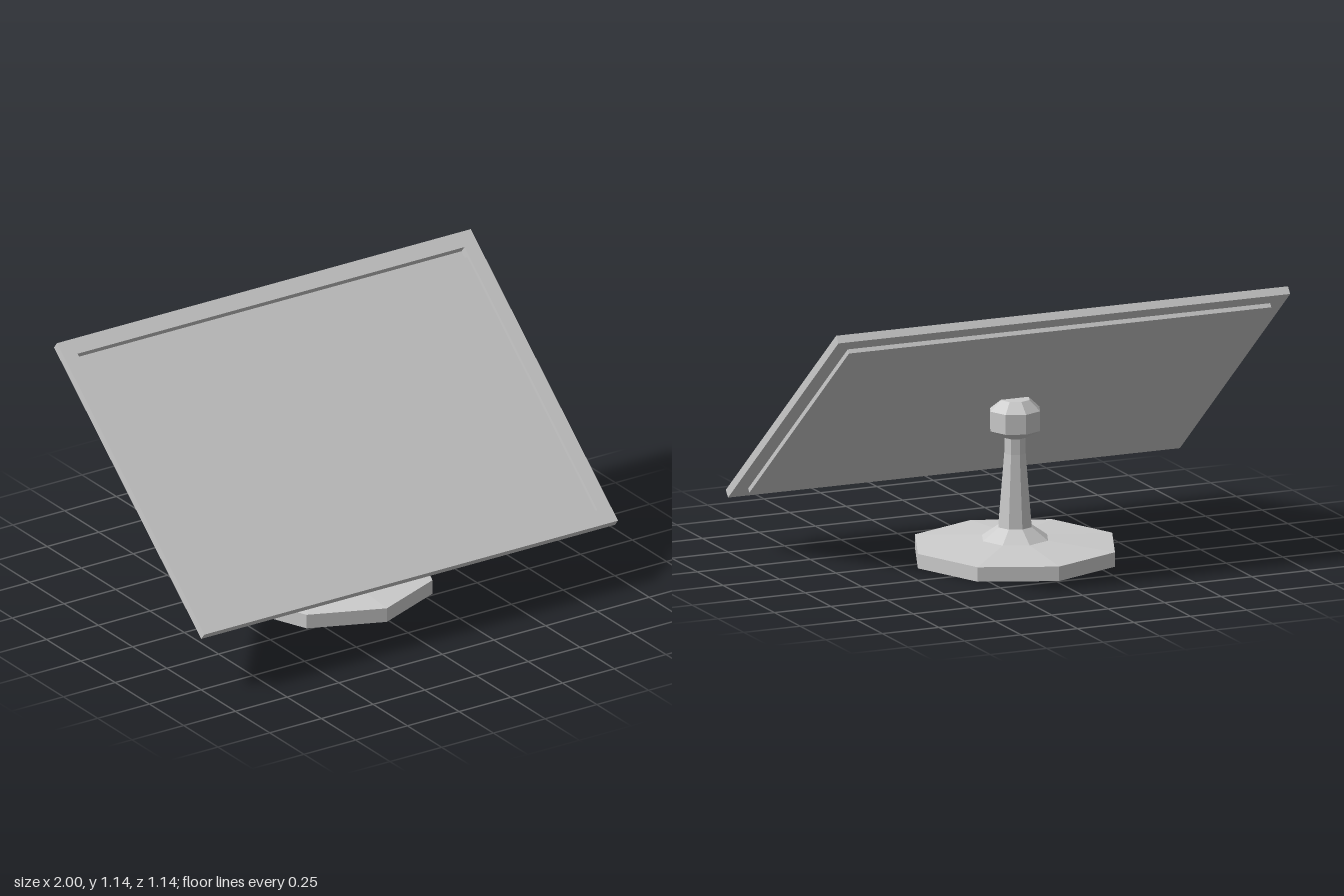
import * as THREE from 'three';

const grey = new THREE.MeshStandardMaterial({ color: 0xcccccc, flatShading: true });
const greyThin = new THREE.MeshStandardMaterial({ color: 0xcccccc, flatShading: true, side: THREE.DoubleSide });

function add(parent, name, geometry, material, x = 0, y = 0, z = 0) {
  const mesh = new THREE.Mesh(geometry, material);
  mesh.name = name;
  mesh.position.set(x, y, z);
  parent.add(mesh);
  return mesh;
}

// Closed counter-clockwise rectangle, centred on the origin
function rectangle(Type, w, h) {
  return new Type([[-1, -1], [1, -1], [1, 1], [-1, 1]]
    .map(([x, y]) => new THREE.Vector2(x * w / 2, y * h / 2)));
}

function turned(points) {
  return new THREE.LatheGeometry(points.map(([r, y]) => new THREE.Vector2(r, y)), 8);
}

export function createModel() {
  const model = new THREE.Group();
  model.name = 'tiltedPanelOnStand';

  // Eight-sided stand: foot, flare, tapering post and ball-like head
  const stand = new THREE.Group();
  stand.name = 'stand';
  stand.position.set(-0.013, 0, -0.065);
  model.add(stand);
  add(stand, 'foot', turned([[0, 0], [0.43, 0], [0.43, 0.06], [0.142, 0.083], [0.072, 0.133]]), grey);
  add(stand, 'post', turned([[0.072, 0.133], [0.046, 0.437], [0.046, 0.502]]), grey);
  add(stand, 'head', turned([[0.046, 0.502], [0.108, 0.535], [0.108, 0.617], [0.062, 0.66], [0, 0.66]]), grey);

  // Tilted panel: local z is the panel's face direction, local y runs up the slope
  const panel = new THREE.Group();
  panel.name = 'panel';
  panel.position.set(0, 0.694, -0.014);
  panel.rotation.x = -0.883;
  model.add(panel);

  const width = 1.87, height = 1.254, depth = 0.035;

  // Frame with a rectangular opening
  const outline = rectangle(THREE.Shape, 2, 1.39);
  outline.holes.push(rectangle(THREE.Path, width, height));
  add(panel, 'frame', new THREE.ExtrudeGeometry(outline, { depth, bevelEnabled: false }), grey, 0, 0, -depth);

  // Backing slab behind the opening
  add(panel, 'backing', new THREE.BoxGeometry(width, height, 0.019), grey, 0, 0, -depth - 0.0095);

  // Thin cover sheet floating off the face, shifted down and sideways
  add(panel, 'coverSheet', new THREE.PlaneGeometry(1.88, 1.264), greyThin, -0.05, -0.073, 0.057);

  return model;
}
